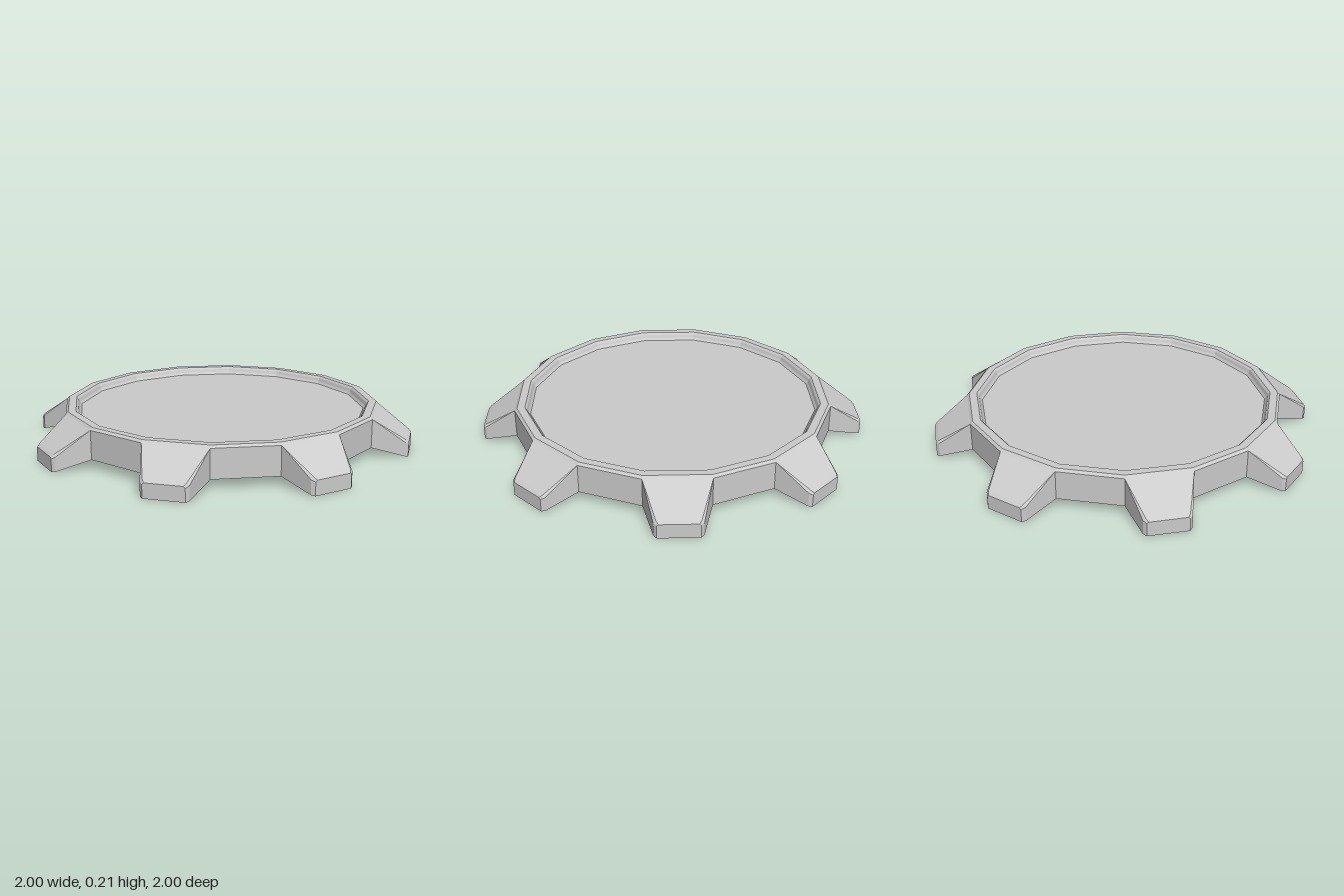
import * as THREE from 'three';

const SIDES = 16, STEP = Math.PI * 2 / SIDES;
const R = 0.835, APOTHEM = R * Math.cos(STEP / 2), HALF = R * Math.sin(STEP / 2);
const WALL_TOP = 0.198, WALL_BOTTOM = 0.05;

// Hollow tooth pointing along +z: bevelled arch sections from root to tip, closed by an end face
function toothGeometry() {
  const stations = [ // distance, half width, bottom, top, bevel
    [APOTHEM, HALF, WALL_BOTTOM, WALL_TOP, 0],
    [0.985, 0.115, 0.004, 0.088, 0.012],
    [0.9997, 0.1, 0, 0.075, 0.008],
  ];
  const pos = [], index = [], n = 6;
  for (const [d, w, bottom, top, b] of stations) {
    pos.push(-w, bottom, d, -w, top - b, d, -w + b, top, d);
    pos.push(w - b, top, d, w, top - b, d, w, bottom, d);
  }
  for (let k = 0; k < stations.length - 1; k++) {
    for (let j = 0; j < n - 1; j++) {
      const a = k * n + j, d = a + n;
      index.push(a, d, d + 1, a, d + 1, a + 1);
    }
  }
  const tip = (stations.length - 1) * n;
  for (let j = 1; j < n - 1; j++) index.push(tip, tip + j + 1, tip + j);
  const g = new THREE.BufferGeometry();
  g.setAttribute('position', new THREE.Float32BufferAttribute(pos, 3));
  g.setIndex(index);
  g.computeVertexNormals();
  return g;
}

export function createModel() {
  const group = new THREE.Group();
  const material = new THREE.MeshStandardMaterial({
    color: 0xcccccc, flatShading: true, side: THREE.DoubleSide,
  });
  const add = (name, geometry, angle = 0) => {
    const mesh = new THREE.Mesh(geometry, material);
    mesh.name = name;
    mesh.rotation.y = angle;
    group.add(mesh);
  };

  // Faceted rim stepping down to the recessed plate
  const profile = [[R, WALL_TOP], [0.822, 0.21], [0.782, 0.21], [0.772, 0.2], [0.765, 0.182], [0.755, 0.17]];
  add('rim', new THREE.LatheGeometry(profile.map(p => new THREE.Vector2(...p)), SIDES));
  add('plate', new THREE.CircleGeometry(0.755, SIDES).rotateX(-Math.PI / 2).translate(0, 0.17, 0));

  // Teeth alternate with plain wall panels around the rim
  const tooth = toothGeometry();
  const panel = new THREE.PlaneGeometry(HALF * 2, WALL_TOP - WALL_BOTTOM)
    .translate(0, (WALL_TOP + WALL_BOTTOM) / 2, APOTHEM);
  for (let i = 0; i < SIDES; i++) {
    const angle = (i + 0.5) * STEP;
    if (i % 2 === 0) add('tooth', tooth, angle);
    else add('wallPanel', panel, angle);
  }
  return group;
}
